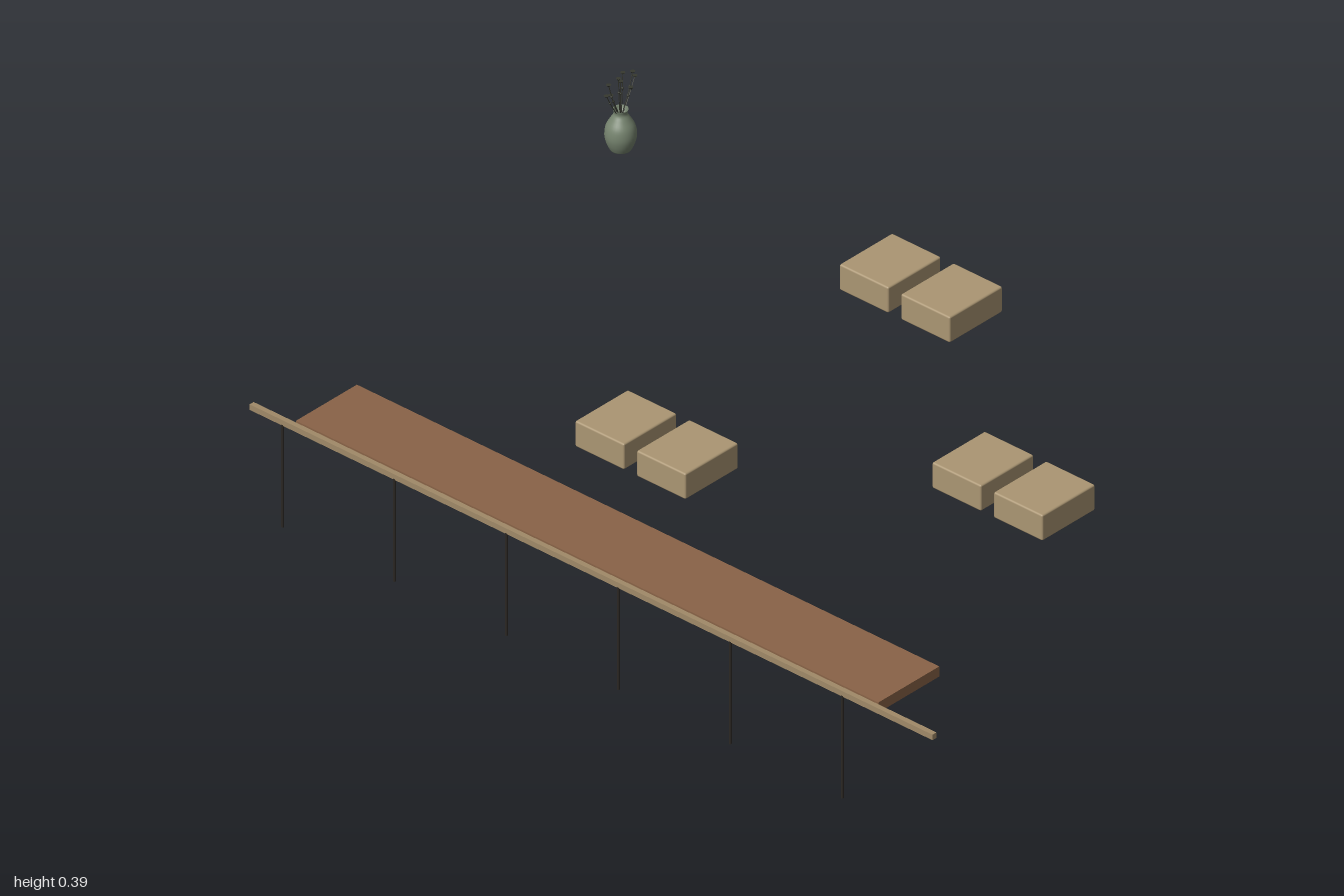
import * as THREE from 'three';
import { RoundedBoxGeometry } from 'three/addons/geometries/RoundedBoxGeometry.js';

const mat = (name, color, side = THREE.FrontSide) => {
  const m = new THREE.MeshStandardMaterial({ color, side });
  m.name = name;
  return m;
};

export function createModel() {
  const root = new THREE.Group();
  root.name = 'loungeSet';

  const tan = mat('tan fabric', 0xab9673);
  const brown = mat('brown wood', 0x8a6347);
  const railWood = mat('pale wood', 0xa08a68);
  const metal = mat('dark metal', 0x2c2824);
  const glaze = mat('sage glaze', 0x76846f, THREE.DoubleSide);
  const stemMat = mat('dark stem', 0x36382f);

  const add = (parent, name, geometry, material, x = 0, y = 0, z = 0) => {
    const mesh = new THREE.Mesh(geometry, material);
    mesh.name = name;
    mesh.position.set(x, y, z);
    parent.add(mesh);
    return mesh;
  };

  // Long counter top with a rail along its front
  add(root, 'counterTop', new THREE.BoxGeometry(1.571, 0.024, 0.182), brown, 0.054, 0.243, 0.64);
  add(root, 'rail', new THREE.BoxGeometry(1.842, 0.013, 0.012), railWood, 0.078, 0.247, 0.74);

  // Six thin posts under the rail
  const postGeo = new THREE.CylinderGeometry(0.003, 0.003, 0.242, 8);
  for (let i = 0; i < 6; i++) {
    add(root, 'post', postGeo, metal, -0.755 + i * 0.302, 0.121, 0.745);
  }

  // Three pairs of seat cushions
  const cushionGeo = new RoundedBoxGeometry(0.132, 0.061, 0.158, 2, 0.004);
  for (const [x, z] of [[-0.31, 0.121], [0.324, -0.243], [-0.31, -0.668]]) {
    const pair = new THREE.Group();
    pair.name = 'cushionPair';
    pair.position.set(x, 0.0905, z);
    for (const s of [-1, 1]) add(pair, 'cushion', cushionGeo, tan, s * 0.083);
    root.add(pair);
  }

  // Vase turned from a profile, with an open mouth
  const arrangement = new THREE.Group();
  arrangement.name = 'flowerVase';
  arrangement.position.set(-0.968, 0.221, -0.5);
  root.add(arrangement);
  const outer = new THREE.SplineCurve([
    [0.022, 0], [0.029, 0.015], [0.033, 0.034], [0.030, 0.055],
    [0.020, 0.073], [0.014, 0.084], [0.016, 0.094],
  ].map(([x, y]) => new THREE.Vector2(x, y))).getPoints(24);
  const profile = [new THREE.Vector2(0, 0), ...outer, new THREE.Vector2(0.013, 0.092),
    new THREE.Vector2(0.011, 0.082), new THREE.Vector2(0, 0.08)];
  add(arrangement, 'vase', new THREE.LatheGeometry(profile, 32), glaze);

  // Fan of stems, each with a small flat blossom and a lower bud
  const blossomGeo = new THREE.CylinderGeometry(0.0055, 0.003, 0.003, 8);
  const budGeo = new THREE.SphereGeometry(0.003, 8, 6);
  const heights = [0.147, 0.165, 0.135, 0.171, 0.158, 0.172, 0.134, 0.166, 0.148];
  heights.forEach((h, i) => {
    const t = (i - 4) / 4;
    const lean = ((i % 3) - 1) * 0.005;
    const curve = new THREE.QuadraticBezierCurve3(
      new THREE.Vector3(0, 0.078, t * 0.006),
      new THREE.Vector3(lean * 0.4, 0.105, t * 0.026),
      new THREE.Vector3(lean, h, t * 0.048),
    );
    add(arrangement, 'stem', new THREE.TubeGeometry(curve, 8, 0.001, 5), stemMat);
    add(arrangement, 'blossom', blossomGeo, stemMat, lean, h, t * 0.048);
    const p = curve.getPoint(0.72);
    add(arrangement, 'bud', budGeo, stemMat, p.x, p.y, p.z);
  });

  return root;
}
